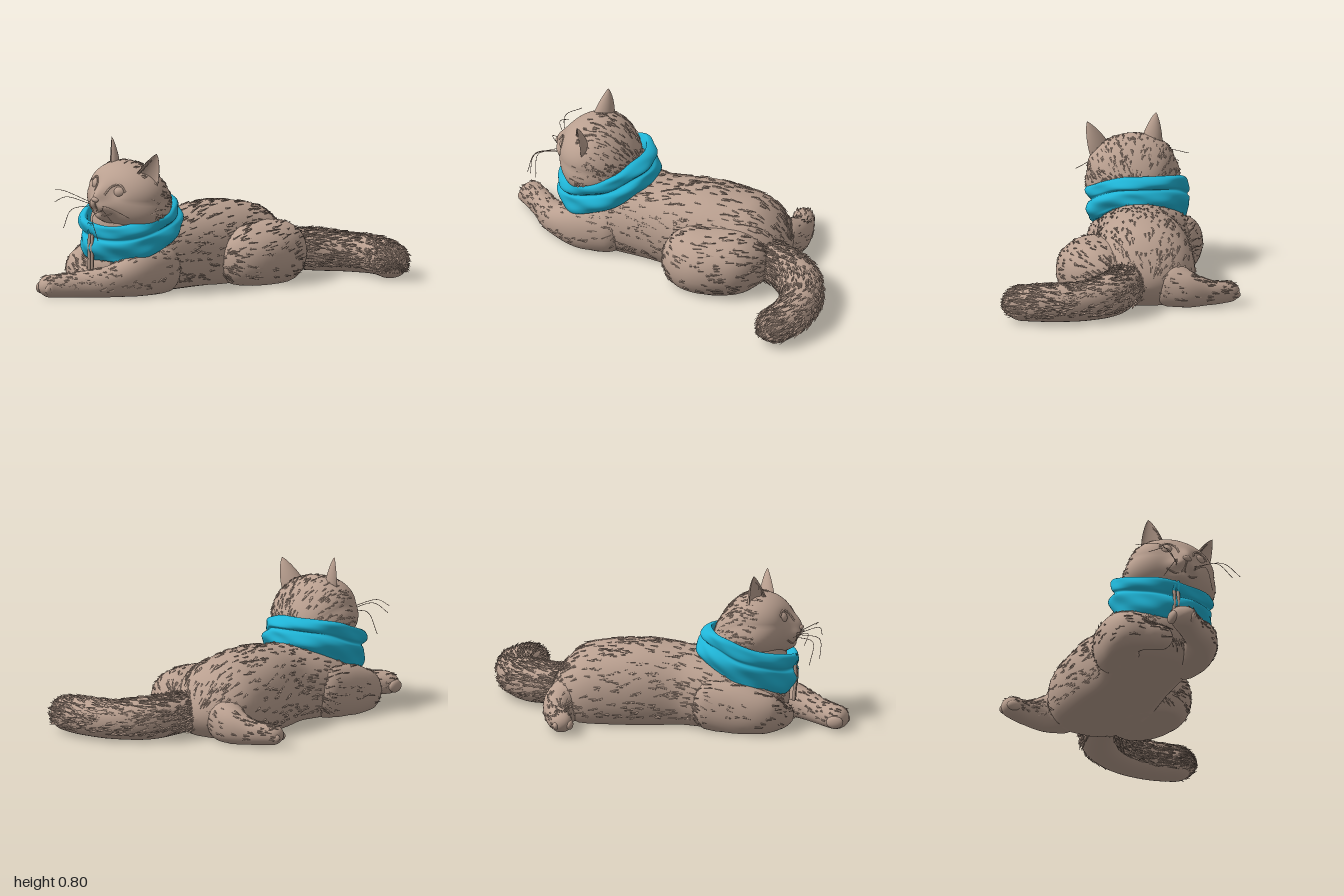
import * as THREE from 'three';
import { mergeGeometries } from 'three/addons/utils/BufferGeometryUtils.js';

const V = (x, y, z) => new THREE.Vector3(x, y, z);
const fur = new THREE.MeshStandardMaterial({ color: 0xbaa090 });
fur.name = 'taupe fur';
const cloth = new THREE.MeshStandardMaterial({ color: 0x1fb4d6 });
cloth.name = 'turquoise cloth';

let seed = 7;
const rnd = () => (seed = (seed * 16807) % 2147483647) / 2147483647;

function add(parent, name, geometry, material = fur) {
  const mesh = new THREE.Mesh(geometry, material);
  mesh.name = name;
  parent.add(mesh);
  return mesh;
}

// Smooth closed surface from fn(v, u): v runs along, u runs around
function surface(fn, nv, nu) {
  const pos = [], idx = [];
  for (let j = 0; j <= nv; j++)
    for (let i = 0; i < nu; i++) pos.push(...fn(j / nv, i / nu).toArray());
  for (let j = 0; j < nv; j++)
    for (let i = 0; i < nu; i++) {
      const a = j * nu + i, b = j * nu + (i + 1) % nu;
      idx.push(a, b, a + nu, b, b + nu, a + nu);
    }
  // Turn the faces outward by the sign of the enclosed volume
  let volume = 0;
  const at = i => V().fromArray(pos, idx[i] * 3);
  for (let i = 0; i < idx.length; i += 3) volume += at(i).dot(at(i + 1).cross(at(i + 2)));
  if (volume < 0) idx.reverse();
  const g = new THREE.BufferGeometry();
  g.setAttribute('position', new THREE.Float32BufferAttribute(pos, 3));
  g.setIndex(idx);
  g.computeVertexNormals();
  return g;
}

// Rounded limb through [x, y, z, halfWidth, halfHeight], flattened on the floor
function limb(points) {
  const path = new THREE.CatmullRomCurve3(points.map(p => V(p[0], p[1], p[2])));
  const size = new THREE.CatmullRomCurve3(points.map(p => V(p[3], p[4], 0)));
  const first = path.getPoint(0), last = path.getPoint(1);
  return (v, u) => {
    const t = (1 - Math.cos(Math.PI * v)) / 2;
    const p = path.getPoint(t), s = size.getPoint(t), dir = path.getTangent(t);
    const side = V(0, 1, 0).cross(dir).normalize();
    const up = dir.clone().cross(side);
    const d = Math.min(p.distanceTo(first), p.distanceTo(last)) / Math.min(s.x, s.y);
    const f = Math.sqrt(Math.max(0, 1 - (1 - Math.min(1, d)) ** 2));
    const soft = k => Math.sign(k) * Math.abs(k) ** 0.92;
    p.addScaledVector(side, soft(Math.cos(u * 2 * Math.PI)) * s.x * f);
    p.addScaledVector(up, soft(Math.sin(u * 2 * Math.PI)) * s.y * f);
    p.y = Math.max(0, p.y);
    return p;
  };
}

// Pointed locks lying along a surface, following its direction
function tufts(fn, count, { from = 0.08, to = 0.9, length = 0.045, radius = 0.006, lift = 0.12, floor = 0.04 } = {}) {
  const locks = [];
  for (let k = 0; k < count; k++) {
    const v = from + (to - from) * rnd(), u = rnd(), l = length * (0.7 + 0.6 * rnd());
    const p = fn(v, u);
    if (p.y < floor) continue;
    const out = p.clone().sub(fn(v, u + 0.5)).normalize();
    const along = fn(Math.min(1, v + 0.01), u).sub(p).normalize();
    const around = fn(v, u + 0.01).sub(p).normalize();
    const normal = along.clone().cross(around).normalize();
    if (normal.dot(out) < 0) normal.negate();
    along.addScaledVector(normal, lift).addScaledVector(around, (rnd() - 0.5) * 0.5).normalize();
    const g = new THREE.ConeGeometry(radius, l, 4, 1, true);
    g.applyQuaternion(new THREE.Quaternion().setFromUnitVectors(V(0, 1, 0), along));
    p.addScaledVector(along, l * 0.4);
    locks.push(g.translate(p.x, p.y, p.z));
  }
  return mergeGeometries(locks);
}

function blob(parent, name, [x, y, z], [rx, ry, rz]) {
  const mesh = add(parent, name, new THREE.SphereGeometry(1, 28, 20).scale(rx, ry, rz));
  mesh.position.set(x, y, z);
  return mesh;
}

const tube = (pts, r) =>
  new THREE.TubeGeometry(new THREE.CatmullRomCurve3(pts.map(p => V(...p))), 20, r, 6);

function furry(parent, name, points, count, options) {
  const fn = limb(points);
  add(parent, name, surface(fn, 48, 36));
  add(parent, name + 'Fur', tufts(fn, count, options));
}

// Depth of the face: rounded front with bridge, whisker pads, chin and eye sockets
const widthAt = ny => 0.232 * (1 + 0.42 * Math.max(0, -ny));
const heightAt = y => (y > 0 ? 0.165 : 0.2);
function faceZ(x, y) {
  const ny = y / heightAt(y), nx = x / widthAt(ny), ax = Math.abs(x);
  const bump = (cx, cy, sx, sy) => Math.exp(-(((ax - cx) / sx) ** 2) - ((y - cy) / sy) ** 2);
  return 0.195 * Math.sqrt(Math.max(0, 1 - nx * nx - ny * ny)) + 0.04 * bump(0, -0.005, 0.045, 0.055)
    + 0.034 * bump(0.042, -0.058, 0.045, 0.035) + 0.045 * bump(0, -0.118, 0.06, 0.034)
    - 0.012 * bump(0.088, 0.037, 0.045, 0.035);
}

function makeHead() {
  const head = new THREE.Group();
  head.name = 'head';
  head.position.set(-0.043, 0.524, 0.48);
  head.rotation.z = -0.14;

  // Skull from nose to nape, widening to the cheeks and sloping down behind
  const skull = (v, u) => {
    const a = v * Math.PI, b = u * 2 * Math.PI;
    const ny = Math.sin(a) * Math.sin(b), y = ny * heightAt(ny);
    const x = Math.sin(a) * Math.cos(b) * widthAt(ny), back = Math.cos(a);
    return v < 0.5 ? V(x, y, faceZ(x, y)) : V(x, y - 0.1 * back * back, back * 0.23);
  };
  add(head, 'skull', surface(skull, 90, 80));
  add(head, 'headFur', tufts(skull, 450, { from: 0.42, to: 0.95, length: 0.035, radius: 0.005, floor: -1 }));

  const nose = blob(head, 'nose', [0, -0.018, faceZ(0, -0.018) - 0.003], [0.024, 0.014, 0.014]);
  nose.rotation.x = -0.4;

  // Thin ridge drawn on the face
  const ridge = (name, pts, r) =>
    add(head, name, tube(pts.map(([x, y]) => [x, y, faceZ(x, y) + 0.001]), r));

  for (const s of [-1, 1]) {
    blob(head, 'eye', [s * 0.088, 0.037, 0.131], [0.041, 0.036, 0.044]);
    ridge('eyelid', [[s * 0.04, 0.016], [s * 0.053, 0.058], [s * 0.093, 0.077], [s * 0.136, 0.047]], 0.005);
    ridge('mouth', [[0, -0.035], [s * 0.004, -0.078], [s * 0.04, -0.1], [s * 0.085, -0.08]], 0.004);

    // Ear: tapering shell with a hollow front
    const ear = (v, u) => {
      const w = 0.07 * (1 - v ** 1.6) ** 0.8, b = u * 2 * Math.PI, k = Math.sin(b);
      return V(w * Math.cos(b) + s * 0.04 * v, v * 0.2 - 0.035, w * (k < 0 ? 0.8 : -0.4) * k);
    };
    const earMesh = add(head, 'ear', surface(ear, 24, 32));
    earMesh.position.set(s * 0.135 + 0.013, 0.098, 0.035);
    earMesh.rotation.set(0.05, s * 0.65, -s * 0.12);
    for (let k = 0; k < 8; k++) {
      const lock = add(earMesh, 'earLock', new THREE.ConeGeometry(0.005, 0.05, 4));
      lock.position.set(-s * (0.045 - k * 0.008), 0.015 + k * 0.014, -0.008);
      lock.rotation.z = -s * 0.7;
    }
    const tips = [[0.3, -0.04, 0.25], [0.24, -0.085, 0.3], [0.14, -0.2, 0.31]];
    tips.forEach(([x, y, z], k) => add(head, 'whisker', tube([[s * 0.05, -0.045 - k * 0.01, 0.22],
      [s * x * 0.6, y * 0.45 + 0.005, 0.285 + k * 0.015], [s * x, y, z]], 0.0016)));
  }
  return head;
}

function makeCowl() {
  const cowl = new THREE.Group();
  cowl.name = 'cowl';
  // Cross-section as [radial offset, height share], with a rolled upper band
  const section = [[-0.06, 0.05], [-0.02, 0], [0.0, 0.12], [0.012, 0.35], [0.008, 0.52], [-0.006, 0.6],
    [0.008, 0.68], [0.014, 0.82], [0.004, 0.97], [-0.014, 1], [-0.028, 0.92], [-0.05, 0.5]];
  const profile = new THREE.CatmullRomCurve3(section.map(p => V(p[0], p[1], 0)), true);
  const ring = (v, u) => {
    const a = u * 2 * Math.PI, c = Math.cos(a), s = Math.sin(a), p = profile.getPoint(v);
    const top = 0.443 - 0.07 * s - 0.022 * c + 0.004 * Math.sin(4 * a);
    const low = 0.245 - 0.095 * s + 0.022 * s * s - 0.012 * c + 0.006 * Math.sin(5 * a + 1);
    const fold = 0.005 * Math.sin(3 * a + 9 * p.y) + 0.004 * Math.sin(7 * a - 12 * p.y);
    const r = 0.257 + p.x + fold;
    const lean = 0.05 * p.y * p.y * Math.max(0, -s);
    return V(-0.08 + c * r, low + (top - low) * p.y, 0.425 + 0.012 * p.y + lean + s * r);
  };
  add(cowl, 'cowlCloth', surface(ring, 60, 110), cloth);
  // Front fastening
  for (const s of [-1, 1]) {
    const x = -0.1 + s * 0.011;
    add(cowl, 'bandEdge', tube([[x, 0.315, 0.694], [x, 0.345, 0.702], [x, 0.374, 0.696]], 0.008), cloth);
    add(cowl, 'zipStrip', tube([[x, 0.318, 0.693], [x, 0.25, 0.698], [x - 0.004, 0.19, 0.692],
      [x - 0.01, 0.125, 0.688]], 0.009));
  }
  return cowl;
}

export function createModel() {
  const cat = new THREE.Group();
  cat.name = 'lyingCat';

  // Trunk and neck
  furry(cat, 'body', [
    [-0.11, 0.13, 0.66, 0.17, 0.1], [-0.11, 0.14, 0.52, 0.25, 0.15], [-0.11, 0.15, 0.33, 0.265, 0.21],
    [-0.095, 0.16, 0.1, 0.235, 0.23], [-0.11, 0.16, -0.15, 0.26, 0.252],
    [-0.13, 0.14, -0.4, 0.26, 0.235], [-0.14, 0.11, -0.59, 0.22, 0.13]], 1500);
  blob(cat, 'neck', [-0.078, 0.36, 0.425], [0.232, 0.18, 0.215]);

  // Front legs: left stretched forward, right folded under the chest
  furry(cat, 'frontLegLeft', [
    [0.06, 0.13, 0.26, 0.1, 0.13], [0.085, 0.11, 0.48, 0.105, 0.135], [0.045, 0.08, 0.67, 0.085, 0.085],
    [-0.07, 0.062, 0.82, 0.066, 0.066], [-0.155, 0.055, 0.93, 0.07, 0.06], [-0.175, 0.05, 0.985, 0.068, 0.052]],
    300, { to: 0.75, length: 0.035 });
  furry(cat, 'frontLegRight', [
    [-0.27, 0.15, 0.18, 0.11, 0.14], [-0.3, 0.12, 0.4, 0.115, 0.15], [-0.295, 0.095, 0.56, 0.11, 0.115],
    [-0.23, 0.07, 0.62, 0.07, 0.075], [-0.1, 0.055, 0.64, 0.06, 0.055]], 260, { to: 0.8 });

  // Hind legs: left tucked haunch, right leg stretched sideways
  furry(cat, 'haunchLeft', [
    [0.07, 0.13, -0.03, 0.12, 0.13], [0.12, 0.13, -0.14, 0.19, 0.17], [0.13, 0.13, -0.25, 0.215, 0.175],
    [0.1, 0.14, -0.4, 0.19, 0.17], [0.03, 0.13, -0.57, 0.1, 0.12]], 450);
  furry(cat, 'hindLegRight', [
    [-0.2, 0.12, -0.44, 0.14, 0.14], [-0.34, 0.09, -0.52, 0.085, 0.1],
    [-0.46, 0.07, -0.51, 0.058, 0.065], [-0.56, 0.065, -0.465, 0.055, 0.055], [-0.615, 0.06, -0.44, 0.05, 0.048]],
    190, { to: 0.7, length: 0.035 });

  // Toes
  for (let k = 0; k < 4; k++) {
    const o = k - 1.5, y = 0.045 + (1.5 - Math.abs(o)) * 0.012;
    blob(cat, 'frontToe', [-0.168 + o * 0.032, y, 0.936 + o * 0.006], [0.022, 0.034, 0.045]);
    blob(cat, 'hindToe', [-0.58 + o * 0.006, y + 0.01, -0.45 + o * 0.022], [0.036, 0.026, 0.018]);
  }

  // Bushy tail curling to the left
  furry(cat, 'tail', [
    [-0.03, 0.13, -0.46, 0.1, 0.1], [-0.005, 0.12, -0.6, 0.105, 0.105], [0.06, 0.11, -0.74, 0.115, 0.11],
    [0.2, 0.1, -0.845, 0.11, 0.1], [0.38, 0.1, -0.88, 0.105, 0.097], [0.52, 0.09, -0.845, 0.095, 0.09],
    [0.6, 0.085, -0.81, 0.085, 0.08]], 1900, { to: 0.97, length: 0.05, radius: 0.007, lift: 0.25 });

  cat.add(makeHead(), makeCowl());
  return cat;
}
